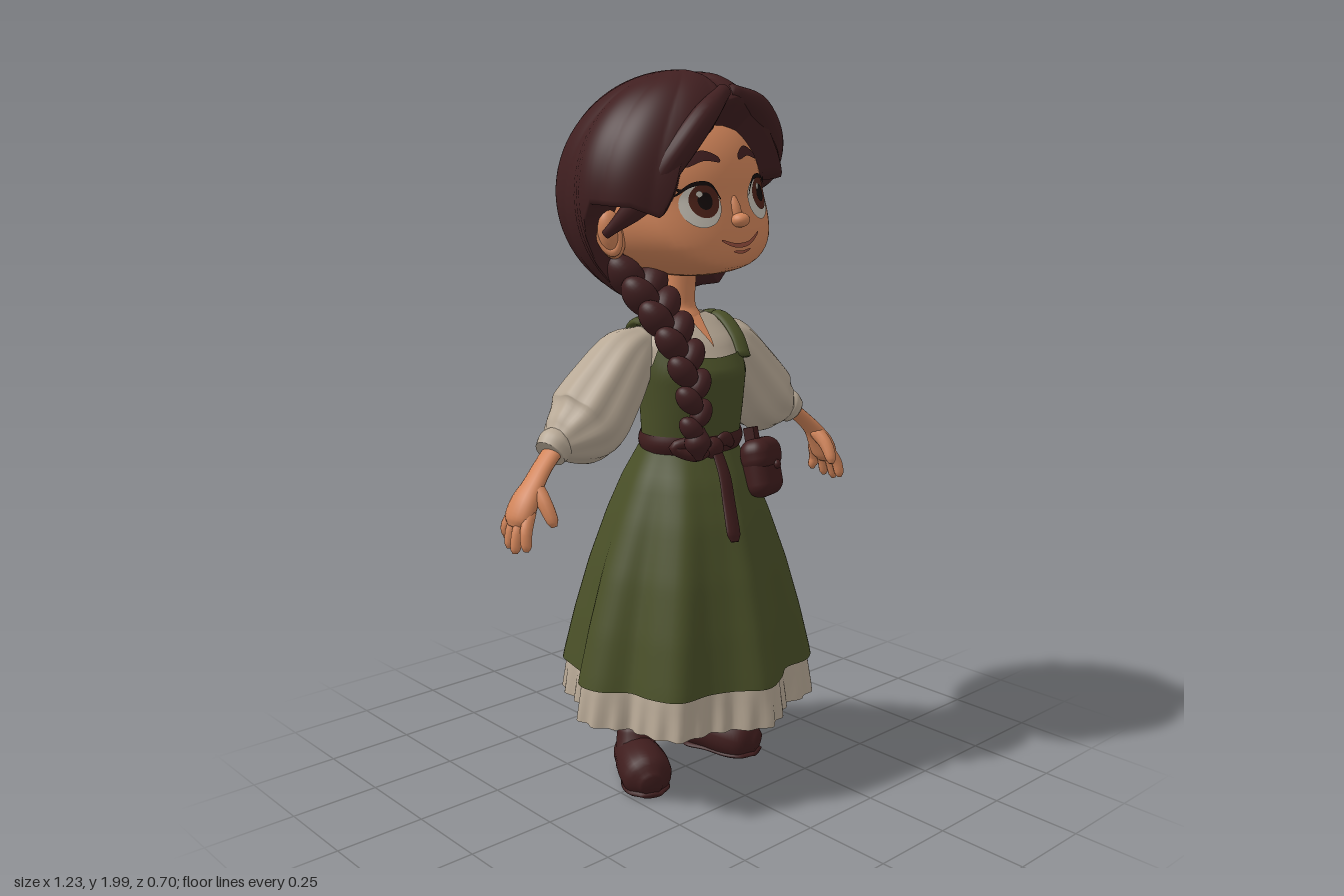
import * as THREE from 'three';
import { mergeVertices } from 'three/addons/utils/BufferGeometryUtils.js';
import { RoundedBoxGeometry } from 'three/addons/geometries/RoundedBoxGeometry.js';

const paint = (name, color) => {
  const m = new THREE.MeshStandardMaterial({ color, side: THREE.DoubleSide });
  m.name = name;
  return m;
};
const { PI, sin, cos, max, min, sqrt, abs, pow } = Math;

// Smooth grid surface; f(u, v) gives [x, y, z], v runs from top to bottom
function surface(f, nu, nv) {
  const pos = [], idx = [];
  for (let j = 0; j <= nv; j++) for (let i = 0; i <= nu; i++) pos.push(...f(i / nu, j / nv));
  for (let j = 0; j < nv; j++) for (let i = 0; i < nu; i++) {
    const a = j * (nu + 1) + i, b = a + nu + 1;
    idx.push(a, b, a + 1, b, b + 1, a + 1);
  }
  let g = new THREE.BufferGeometry();
  g.setAttribute('position', new THREE.Float32BufferAttribute(pos, 3));
  g.setIndex(idx);
  g = mergeVertices(g, 1e-5);
  g.computeVertexNormals();
  return g;
}

// Linear lookup in rows [key, a, b, ...] sorted by rising key
function lookup(rows, k) {
  let i = 0;
  while (i < rows.length - 2 && k > rows[i + 1][0]) i++;
  const p = rows[i], q = rows[i + 1], t = min(1, max(0, (k - p[0]) / (q[0] - p[0])));
  return p.slice(1).map((x, n) => x + (q[n + 1] - x) * t);
}

// Closed tapered tube along points with one radius per point
function limb(points, radii, { flat = 1, wide = 1, ripple = 0, along = false, nu = 18, nv = 24, floor = -9 } = {}) {
  const curve = new THREE.CatmullRomCurve3(points.map(p => new THREE.Vector3(...p)));
  const size = new THREE.SplineCurve(radii.map((r, i) => new THREE.Vector2(i, r)));
  const ref = along ? new THREE.Vector3(0, 1, 0) : new THREE.Vector3(0, 0, 1);
  return surface((u, v) => {
    const t = min(1, max(0, (v * nv - 1) / (nv - 2))), a = u * 2 * PI;
    const T = curve.getTangent(t), N = ref.clone().cross(T).normalize(), B = T.clone().cross(N);
    const r = v === 0 || v === 1 ? 0 : size.getPoint(t).y + ripple * cos(9 * a) * sin(PI * t);
    const p = curve.getPoint(t).addScaledVector(N, r * wide * sin(a)).addScaledVector(B, r * flat * cos(a));
    return [p.x, max(floor, p.y), p.z];
  }, nu, nv);
}

// Torso cross-sections: y, half width, half depth, centre z
const TORSO = [[0.98, 0.137, 0.112, 0.02], [1.1, 0.146, 0.122, 0.025], [1.2, 0.155, 0.13, 0.025],
  [1.28, 0.155, 0.1, 0], [1.34, 0.12, 0.065, -0.03], [1.36, 0.05, 0.045, -0.03]];
function torso(a, y, grow = 0) {
  const [rx, rz, cz] = lookup(TORSO, y);
  return [(rx + grow) * sin(a), y, cz + (rz + grow) * cos(a)];
}
const SKIRT = [[0.24, 0.368, 0.322], [0.36, 0.358, 0.314], [0.5, 0.324, 0.29], [0.65, 0.28, 0.258], [0.8, 0.226, 0.216],
  [0.9, 0.186, 0.176], [0.96, 0.158, 0.142], [1.01, 0.137, 0.112]];
function skirtPoint(a, y, grow = 0) {
  const [rx, rz] = lookup(SKIRT, y), t = min(1, max(0, (1 - y) / 0.64));
  const fold = grow + t * (0.023 * cos(8 * a) + 0.003 * cos(19 * a + 1));
  return [(rx + fold) * sin(a), y, 0.01 + (rz + fold) * cos(a)];
}
// Bodice edge: square front, straps rising at the sides, high back; degrees from front
const NECKLINE = [[0, 1.24], [38, 1.245], [48, 1.275], [62, 1.275], [80, 1.22], [105, 1.22], [125, 1.29], [180, 1.305]];

// Face in head coordinates: full cheeks and a forward jaw
const jaw = (y, nz) => 0.13 * pow(max(0, -y) / 0.225, 1.5) * min(1, 2 * max(0, nz));
const halfWidth = y => 0.23 * (1 + 0.14 * min(1, max(0, -y) / 0.14));
function faceZ(x, y) {
  const nz = sqrt(max(0, 1 - (x / halfWidth(y)) ** 2 - (y / 0.225) ** 2));
  return 0.2 * nz + jaw(y, nz);
}
const disc = (x, y, rx, ry, lift) => surface((u, v) => {
  const px = x + rx * v * sin(u * 2 * PI), py = y + ry * v * cos(u * 2 * PI);
  return [px, py, faceZ(px, py) + lift];
}, 28, 5);
// Tapered painted stroke on the face
function stroke(pts, width, lift) {
  const c = new THREE.SplineCurve(pts.map(p => new THREE.Vector2(...p)));
  return surface((u, v) => {
    const p = c.getPoint(u), w = width * (0.2 + 0.8 * sqrt(sin(PI * min(1, max(0, u)))));
    const y = p.y + w * (0.5 - v);
    return [p.x, y, faceZ(p.x, y) + lift];
  }, 18, 3);
}

// Hairline: degrees around the head (0 = front), degrees down from the crown
const HAIRLINE = [[-180, 154], [-125, 154], [-100, 150], [-93, 100], [-86, 90], [-60, 92], [-45, 98], [-37, 86], [-33, 72],
  [-14, 52], [8, 40], [20, 42], [38, 50], [45, 70], [51, 84], [60, 88], [86, 88], [93, 100], [100, 150], [125, 154], [180, 154]];
function hairPoint(u, v) {
  const deg = u * 360 - 180, phi = deg * PI / 180;
  const t = min(1, v / 0.88), rim = max(0, (v - 0.88) / 0.12);
  const th = lookup(HAIRLINE, deg)[0] * PI / 180 * t, s = sin(th), c = cos(phi);
  const x = (phi < 0 ? 0.325 : 0.302) * s * sin(phi), y = 0.317 * cos(th), z = c > 0 ? 0.25 * pow(s, 0.65) * c : 0.345 * s * c;
  const part = 0.05 * Math.exp(-((x - 0.03) ** 2) / 0.0005) * (z > -0.15 ? min(1, (z + 0.15) * 5) : 0);
  const k = (1 - part + 0.018 * s * (abs(sin(phi * 6 + 1.3 * th)) - 0.6)) * (1 - 0.4 * rim);
  return [x * k - 0.005, y * k, z * k];
}

export function createModel() {
  const model = new THREE.Group();
  const skin = paint('skin', 0xd2855a), cream = paint('cream cloth', 0xb8a996), green = paint('green cloth', 0x4a5028),
    hair = paint('hair', 0x401f20), leather = paint('leather', 0x3f1d1d), white = paint('eye white', 0xc6c0b5),
    iris = paint('iris', 0x4f231a), black = paint('pupil', 0x140b0b), lip = paint('lip', 0x9c5240);
  const add = (parent, name, geo, mat, p = [0, 0, 0], s = [1, 1, 1], r = [0, 0, 0]) => {
    const m = new THREE.Mesh(geo, mat);
    m.name = name;
    m.position.set(...p); m.scale.set(...s); m.rotation.set(...r);
    parent.add(m);
    return m;
  };
  const group = (name, parent = model) => {
    const g = new THREE.Group();
    g.name = name;
    parent.add(g);
    return g;
  };
  const ball = new THREE.SphereGeometry(1, 24, 16);

  // Dress
  add(model, 'blouse', surface((u, v) => torso(u * 2 * PI, 1.35 - 0.35 * v), 48, 24), cream);
  add(model, 'bodice', surface((u, v) => {
    const top = lookup(NECKLINE, abs(u * 360 - 180))[0];
    return torso((u - 0.5) * 2 * PI, top + (0.98 - top) * v, 0.008);
  }, 96, 18), green);
  add(model, 'skirt', surface((u, v) => skirtPoint(u * 2 * PI, 1.01 - 0.655 * v), 128, 30), green);
  add(model, 'petticoat', surface((u, v) => {
    const a = u * 2 * PI, y = 0.92 - (0.667 + 0.01 * cos(a)) * v, hem = min(1, max(0, (0.38 - y) / 0.12));
    return skirtPoint(a, y, -0.012 + hem * (0.006 + 0.007 * cos(34 * a)));
  }, 240, 26), cream);
  for (const s of [1, -1]) add(model, 'shoulderStrap', limb([[s * 0.118, 1.23, 0.112], [s * 0.125, 1.285, 0.075],
    [s * 0.13, 1.335, 0.005], [s * 0.128, 1.325, -0.065], [s * 0.115, 1.25, -0.088]], [0.024, 0.025, 0.026, 0.028, 0.03],
    { flat: 0.45 }), green);
  add(model, 'neck', limb([[0, 1.55, -0.01], [0, 1.42, -0.02], [0, 1.37, -0.025], [0, 1.335, -0.025], [0, 1.3, -0.025]],
    [0.044, 0.041, 0.046, 0.066, 0.07]), skin);
  add(model, 'necklineNotch', surface((u, v) => {
    const y = 1.35 - 0.085 * v, x = (u - 0.5) * 0.05 * (1 - v);
    return torso(Math.asin(x / lookup(TORSO, y)[0]), y, 0.005);
  }, 6, 8), skin);

  // Belt, knot, hanging end and pouch
  add(model, 'belt', surface((u, v) => torso(u * 2 * PI, 1.03 - 0.05 * v, 0.011 + 0.007 * sin(PI * v)), 56, 6), leather);
  add(model, 'beltKnot', ball, leather, [-0.04, 1.0, 0.155], [0.032, 0.03, 0.024]);
  add(model, 'beltLoop', limb([[-0.04, 1, 0.155], [-0.09, 1.025, 0.155], [-0.15, 1.01, 0.12], [-0.1, 0.985, 0.15], [-0.04, 1, 0.155]],
    [0.012, 0.016, 0.016, 0.016, 0.012]), leather);
  add(model, 'beltLoop', limb([[-0.04, 1, 0.155], [0, 1.02, 0.16], [0.035, 1, 0.15]], [0.014, 0.02, 0.012], { flat: 0.6 }), leather);
  add(model, 'beltEnd', limb([[-0.035, 1, 0.16], [-0.04, 0.93, 0.2], [-0.05, 0.86, 0.228], [-0.065, 0.785, 0.262], [-0.068, 0.765, 0.27]],
    [0.018, 0.021, 0.023, 0.024, 0.014], { flat: 0.4 }), leather);
  const pouch = group('pouch');
  pouch.position.set(0.14, 0.92, 0.165);
  pouch.rotation.set(-0.25, 0.45, 0);
  add(pouch, 'pouchBag', new RoundedBoxGeometry(0.15, 0.15, 0.08, 6, 0.039), leather, [0, -0.008, 0]);
  add(pouch, 'pouchFlap', new RoundedBoxGeometry(0.158, 0.095, 0.09, 6, 0.04), leather, [0, 0.035, 0.003]);
  add(pouch, 'pouchButton', ball, leather, [0, 0.002, 0.046], [0.013, 0.013, 0.01]);
  add(pouch, 'pouchLoop', new THREE.BoxGeometry(0.04, 0.06, 0.03), leather, [0, 0.085, -0.015]);

  // Arms and legs, mirrored
  for (const s of [1, -1]) {
    const arm = group(s > 0 ? 'leftArm' : 'rightArm');
    arm.scale.x = s;
    add(arm, 'sleeve', limb([[0.12, 1.285, -0.025], [0.185, 1.245, -0.03], [0.27, 1.145, -0.035], [0.335, 1.075, -0.035], [0.4, 1.045, -0.03], [0.44, 1.03, -0.025]],
      [0.045, 0.08, 0.103, 0.107, 0.072, 0.04], { ripple: 0.004, nu: 54, nv: 30 }), cream);
    add(arm, 'cuff', limb([[0.415, 1.045, -0.026], [0.435, 1.035, -0.025], [0.458, 1.017, -0.02]], [0.044, 0.05, 0.043]), cream);
    add(arm, 'forearm', limb([[0.42, 1.045, -0.025], [0.49, 0.99, -0.008], [0.53, 0.95, 0.003], [0.56, 0.91, 0.006], [0.58, 0.87, 0.006], [0.587, 0.85, 0.006]],
      [0.033, 0.032, 0.036, 0.046, 0.046, 0.03], { wide: 0.62 }), skin);
    for (let i = 0; i < 4; i++) {
      const z = 0.046 - i * 0.027, d = [0.01, 0, 0.006, 0.022][i];
      add(arm, 'finger', limb([[0.565, 0.89, z * 0.8], [0.592 - d * 0.3, 0.845, z * 1.1], [0.604 - d, 0.8 + d, z * 1.25], [0.606 - d, 0.788 + d, z * 1.27]],
        [0.016, 0.0165, 0.014, 0.007], { nu: 10, nv: 12 }), skin);
    }
    add(arm, 'thumb', limb([[0.53, 0.945, 0.015], [0.532, 0.91, 0.055], [0.528, 0.87, 0.08], [0.526, 0.855, 0.085]],
      [0.022, 0.02, 0.016, 0.008], { nu: 10, nv: 12 }), skin);

    const leg = group(s > 0 ? 'leftLeg' : 'rightLeg');
    leg.scale.x = s;
    add(leg, 'shin', new THREE.CylinderGeometry(0.046, 0.037, 0.4, 24), skin, [0.135, 0.3, -0.075]);
    add(leg, 'ankleBand', new THREE.CylinderGeometry(0.044, 0.042, 0.05, 24), skin, [0.135, 0.185, -0.075]);
    const shoe = group('shoe', leg);
    shoe.position.set(0.135, 0, -0.075);
    shoe.rotation.y = 0.42;
    add(shoe, 'shoeUpper', limb([[0, 0.06, -0.058], [0, 0.06, -0.03], [0, 0.064, 0.03], [0, 0.055, 0.1], [0, 0.048, 0.15], [0, 0.042, 0.185]],
      [0.03, 0.055, 0.066, 0.074, 0.066, 0.03], { along: true, floor: 0.002 }), leather);
    add(shoe, 'sole', limb([[0, 0.013, -0.06], [0, 0.013, -0.03], [0, 0.013, 0.03], [0, 0.013, 0.1], [0, 0.013, 0.15], [0, 0.013, 0.185]],
      [0.03, 0.049, 0.052, 0.068, 0.062, 0.03], { along: true, flat: 0.25, floor: 0 }), leather);
    add(shoe, 'shoeCollar', limb([[0, 0.152, -0.004], [0, 0.135, 0], [0, 0.1, 0.012], [0, 0.06, 0.03]], [0.044, 0.05, 0.057, 0.066]), leather);
  }

  // Head, slightly tilted
  const head = group('head');
  head.position.set(-0.015, 1.68, 0);
  head.rotation.z = 0.09;
  add(head, 'face', surface((u, v) => {
    const a = u * 2 * PI, s = sin(v * PI), y = 0.225 * cos(v * PI), nz = s * cos(a);
    return [halfWidth(y) * s * sin(a), y, 0.2 * nz + jaw(y, nz)];
  }, 56, 40), skin);
  add(head, 'nose', ball, skin, [0, -0.07, 0.22], [0.025, 0.019, 0.026]);
  add(head, 'noseBridge', ball, skin, [0, -0.045, 0.2], [0.016, 0.045, 0.02], [-0.3, 0, 0]);
  add(head, 'mouth', stroke([[-0.066, -0.115], [-0.025, -0.132], [0.025, -0.132], [0.07, -0.108]], 0.012, 0.004), lip);
  add(head, 'lowerLip', stroke([[-0.03, -0.148], [0, -0.153], [0.03, -0.148]], 0.008, 0.003), lip);
  for (const s of [1, -1]) {
    const x = s * 0.102;
    add(head, 'eyeWhite', disc(x, -0.024, 0.053, 0.055, 0.004), white);
    add(head, 'iris', disc(x + 0.008, -0.012, 0.039, 0.043, 0.0065), iris);
    add(head, 'pupil', disc(x + 0.008, -0.012, 0.019, 0.022, 0.0085), black);
    add(head, 'eyeGlint', disc(x - 0.006, 0.007, 0.008, 0.008, 0.0105), white);
    add(head, 'upperLashes', stroke([[x - s * 0.052, -0.012], [x - s * 0.025, 0.028], [x + s * 0.02, 0.031], [x + s * 0.06, 0.006]], 0.011, 0.009), black);
    add(head, 'outerLash', stroke([[x + s * 0.04, 0.018], [x + s * 0.055, 0.022], [x + s * 0.067, 0.034]], 0.008, 0.01), black);
    add(head, 'eyebrow', stroke([[s * 0.032, 0.086], [s * 0.078, 0.1], [s * 0.128, 0.08]], 0.026, 0.008), hair);
    add(head, 'ear', ball, skin, [s * 0.246, -0.085, -0.012], [0.038, 0.068, 0.036], [0, s * -0.3, s * -0.25]);
    add(head, 'earRim', new THREE.TorusGeometry(0.036, 0.009, 10, 28), skin, [s * 0.262, -0.08, -0.002], [0.8, 1.4, 1], [0, s * 0.9, s * -0.2]);
    add(head, 'sideburn', ball, hair, [s * 0.214, 0, 0.045], [0.018, 0.075, 0.028]);
  }

  // Hair with a front parting and two swept locks
  add(head, 'hairCap', surface(hairPoint, 180, 40), hair);
  add(head, 'rightLock', limb([[0.02, 0.255, 0.165], [-0.08, 0.2, 0.195], [-0.17, 0.105, 0.172], [-0.235, 0, 0.105], [-0.29, -0.08, 0.02]],
    [0.02, 0.033, 0.037, 0.035, 0.012]), hair);
  add(head, 'leftLock', limb([[0.05, 0.255, 0.16], [0.145, 0.21, 0.16], [0.222, 0.12, 0.13], [0.258, 0.03, 0.07], [0.278, -0.02, 0.01]],
    [0.018, 0.03, 0.033, 0.03, 0.012]), hair);

  // Braid over the right shoulder
  const braid = group('braid');
  const path = new THREE.CatmullRomCurve3([[-0.165, 1.46, -0.02], [-0.165, 1.39, 0.06], [-0.148, 1.28, 0.145], [-0.135, 1.17, 0.18], [-0.13, 1.07, 0.185]]
    .map(p => new THREE.Vector3(...p)));
  for (let i = 0; i < 13; i++) {
    const t = i / 12, s = i % 2 ? 1 : -1, r = 0.062 - 0.026 * t, p = path.getPointAt(t);
    add(braid, 'braidStrand', ball, hair, [p.x + s * r * 0.5, p.y, p.z], [r * 0.72, r * 1.1, r * 0.82], [-0.3, 0, s * -0.65]);
  }
  add(braid, 'braidTail', limb([[-0.13, 1.07, 0.185], [-0.13, 1.03, 0.19], [-0.125, 0.985, 0.19]], [0.022, 0.036, 0.01]), hair);
  return model;
}
